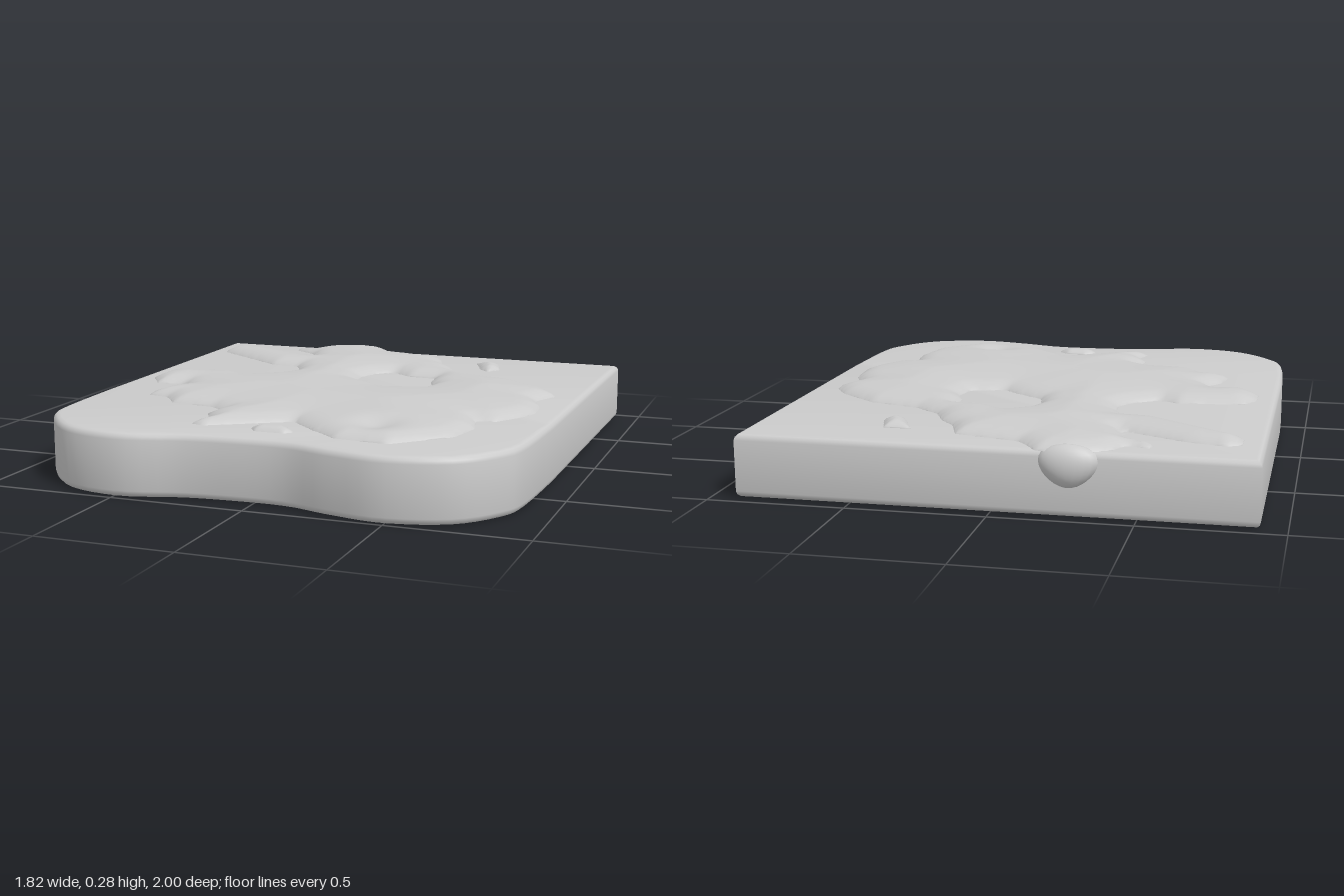
import * as THREE from 'three';
import { toCreasedNormals } from 'three/addons/utils/BufferGeometryUtils.js';

const TOP = 0.23;

// Outlines as x, z pairs
const SPREAD = [
  -0.27, -0.98, -0.16, -0.96, -0.08, -0.86, 0.16, -0.8, 0.2, -0.68, 0.26, -0.61, 0.3, -0.52, 0.4, -0.44,
  0.6, -0.38, 0.75, -0.26, 0.81, -0.17, 0.755, -0.05, 0.8, 0.05, 0.81, 0.17, 0.78, 0.25, 0.71, 0.36,
  0.64, 0.37, 0.67, 0.5, 0.64, 0.65, 0.46, 0.83, 0.26, 0.81, 0.15, 0.72, 0.03, 0.61, -0.25, 0.78,
  -0.3, 0.76, -0.27, 0.68, -0.31, 0.6, -0.29, 0.52, -0.36, 0.47, -0.53, 0.45, -0.6, 0.36, -0.69, 0.34,
  -0.67, 0.23, -0.62, 0.16, -0.66, 0.09, -0.77, 0.11, -0.83, 0.02, -0.83, -0.07, -0.79, -0.14, -0.54, -0.17,
  -0.47, -0.13, -0.37, -0.2, -0.33, -0.27, -0.34, -0.36, -0.38, -0.44, -0.5, -0.45, -0.83, -0.68, -0.83, -0.76,
  -0.78, -0.79, -0.65, -0.76, -0.39, -0.64, -0.44, -0.77, -0.54, -0.83, -0.53, -0.87, -0.45, -0.85, -0.41, -0.92,
];
const HOLE = [0, -0.4, 0.06, -0.44, 0.14, -0.38, 0.26, -0.37, 0.27, -0.27, 0.3, -0.2, 0.28, -0.1,
  0.15, -0.07, 0.08, -0.13, -0.02, -0.2, -0.04, -0.3];
const BACK_DAB = [0.33, -0.76, 0.43, -0.76, 0.46, -0.66, 0.42, -0.6, 0.38, -0.64];
const FRONT_DAB = [-0.07, 0.76, -0.03, 0.73, 0.06, 0.73, 0.1, 0.77, 0.07, 0.8, -0.04, 0.8];

function edgesOf(outline) {
  const edges = [];
  for (let i = 0; i < outline.length; i += 2) {
    const j = (i + 2) % outline.length;
    edges.push([outline[i], outline[i + 1], outline[j], outline[j + 1]]);
  }
  return edges;
}

// Even-odd inside test plus the nearest point on the outline
function locate(x, z, edges) {
  let inside = false, d = Infinity, px = x, pz = z;
  for (const [ax, az, bx, bz] of edges) {
    if ((az > z) !== (bz > z) && x < ax + ((z - az) / (bz - az)) * (bx - ax)) inside = !inside;
    const ex = bx - ax, ez = bz - az;
    const t = THREE.MathUtils.clamp(((x - ax) * ex + (z - az) * ez) / (ex * ex + ez * ez), 0, 1);
    const qx = ax + t * ex, qz = az + t * ez, q = Math.hypot(x - qx, z - qz);
    if (q < d) { d = q; px = qx; pz = qz; }
  }
  return { inside, d, px, pz };
}

// Soft layer: rises quickly at its rim, then domes gently with distance from the rim
function softLayer(outlines, step) {
  const edges = outlines.flatMap(edgesOf);
  const xs = edges.map((e) => e[0]), zs = edges.map((e) => e[1]);
  const x0 = Math.min(...xs) - step, z0 = Math.min(...zs) - step;
  const nx = Math.ceil((Math.max(...xs) + step - x0) / step) + 1;
  const nz = Math.ceil((Math.max(...zs) + step - z0) / step) + 1;
  const pos = [], index = [], inside = [];
  for (let j = 0; j < nz; j++) {
    for (let i = 0; i < nx; i++) {
      const x = x0 + i * step, z = z0 + j * step;
      const p = locate(x, z, edges);
      inside.push(p.inside);
      if (p.inside) {
        const dip = 0.024 * Math.exp(-((x - 0.36) ** 2 + (z - 0.65) ** 2) / 0.006);
        const h = 0.02 * Math.sqrt(Math.min(1, p.d / 0.06)) + 0.035 * (1 - Math.exp(-p.d / 0.2));
        pos.push(x, TOP + Math.max(0.004, h - dip), z);
      } else pos.push(p.px, TOP - 0.002, p.pz);
    }
  }
  for (let j = 0; j < nz - 1; j++) {
    for (let i = 0; i < nx - 1; i++) {
      const a = j * nx + i, b = a + 1, c = a + nx, d = c + 1;
      if (inside[a] || inside[b] || inside[c] || inside[d]) index.push(a, c, b, b, c, d);
    }
  }
  const geo = new THREE.BufferGeometry();
  geo.setAttribute('position', new THREE.Float32BufferAttribute(pos, 3));
  geo.setIndex(index);
  geo.computeVertexNormals();
  return geo;
}

export function createModel() {
  const group = new THREE.Group();
  const material = new THREE.MeshStandardMaterial({ color: 0xcccccc });
  const thin = new THREE.MeshStandardMaterial({ color: 0xcccccc, side: THREE.DoubleSide });
  const add = (name, geo, mat = material) => {
    const mesh = new THREE.Mesh(geo, mat);
    mesh.name = name;
    group.add(mesh);
    return mesh;
  };

  // Bread slice: square back, rounded shoulders and a wavy front edge
  const shape = new THREE.Shape();
  shape.moveTo(-0.91, -0.955);
  shape.lineTo(0.91, -0.955);
  shape.lineTo(0.905, 0.3);
  shape.splineThru([
    [0.89, 0.64], [0.85, 0.78], [0.72, 0.93], [0.5, 0.995], [0.3, 0.965], [0.12, 0.915], [-0.08, 0.915],
    [-0.26, 0.935], [-0.48, 0.99], [-0.7, 0.94], [-0.85, 0.78], [-0.89, 0.64], [-0.905, 0.3],
  ].map(([x, z]) => new THREE.Vector2(x, z)));
  const bevel = 0.024;
  const slice = new THREE.ExtrudeGeometry(shape, {
    depth: TOP - 2 * bevel, bevelThickness: bevel, bevelSize: bevel, bevelOffset: -bevel,
    bevelSegments: 3, curveSegments: 4,
  });
  slice.rotateX(Math.PI / 2).translate(0, TOP - bevel, 0);
  add('breadSlice', toCreasedNormals(slice, 0.7));

  // Spread with a bare hole, and two stray dabs
  add('spread', softLayer([SPREAD, HOLE], 0.02), thin);
  add('backDab', softLayer([BACK_DAB], 0.012), thin);
  add('frontDab', softLayer([FRONT_DAB], 0.012), thin);

  // Drip hanging over the back edge, narrowing downward
  const drip = new THREE.SphereGeometry(1, 20, 14);
  const p = drip.attributes.position;
  for (let i = 0; i < p.count; i++) {
    const y = p.getY(i), taper = 0.8 + 0.2 * y;
    p.setXYZ(i, p.getX(i) * 0.125 * taper, y * 0.075, p.getZ(i) * 0.05);
  }
  drip.computeVertexNormals();
  add('drip', drip).position.set(-0.27, 0.178, -0.95);

  return group;
}
